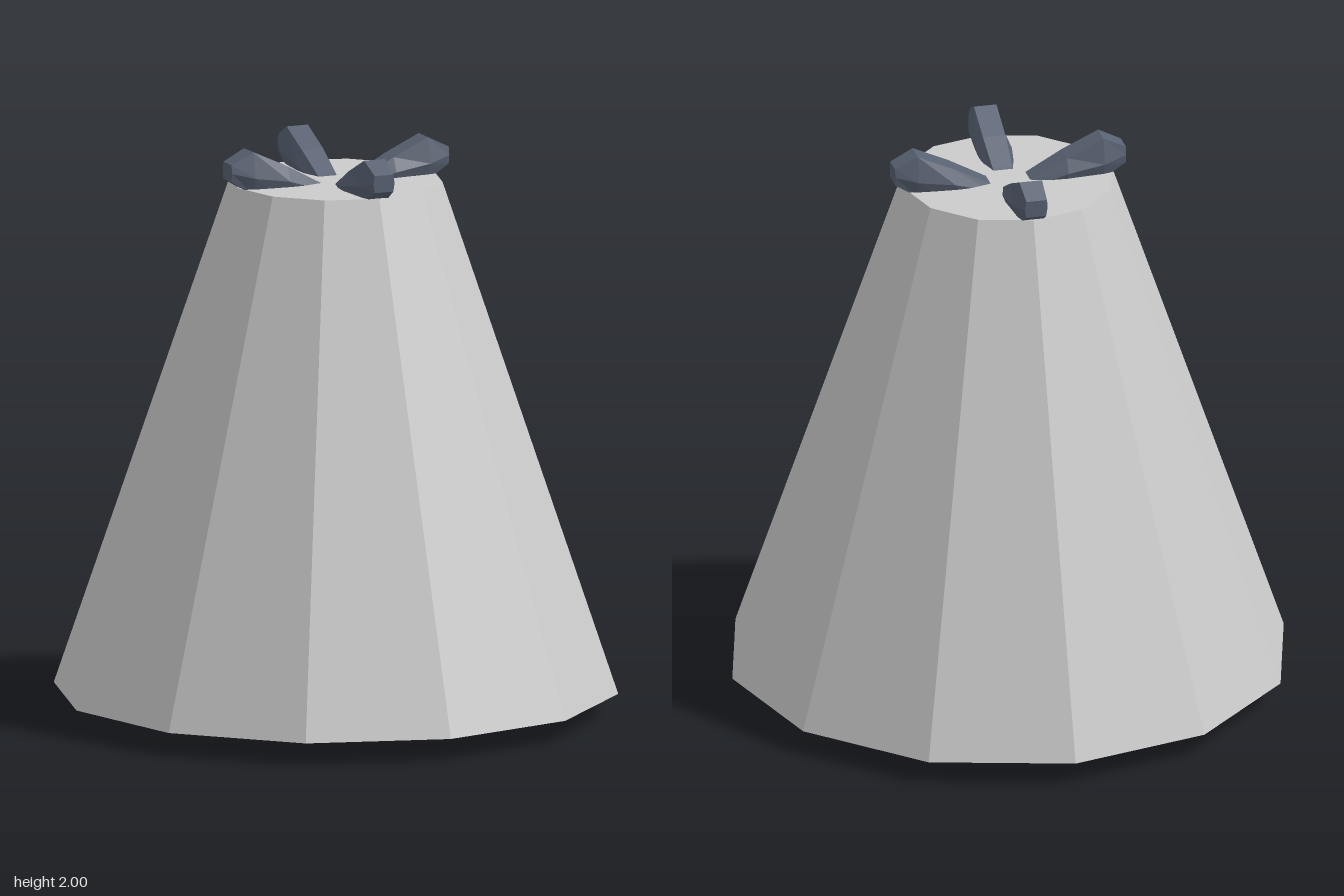
import * as THREE from 'three';

const material = (color, extra = {}) =>
  new THREE.MeshStandardMaterial({ color, flatShading: true, ...extra });

// Faceted claw lofted along +x from six-sided cross-sections
function clawGeometry() {
  // x, top y, middle y, bottom y, flat half width, middle half width
  const stations = [
    [0.02, 1.845, 1.83, 1.80, 0.03, 0.04],
    [0.08, 1.875, 1.85, 1.80, 0.035, 0.045],
    [0.2, 1.94, 1.89, 1.81, 0.04, 0.063],
    [0.33, 2.0, 1.91, 1.85, 0.04, 0.06],
    [0.41, 1.96, 1.93, 1.90, 0.035, 0.04],
  ];
  const rings = stations.map(([x, top, mid, low, flat, wide]) => [
    [x, top, -flat], [x, top, flat], [x, mid, wide],
    [x, low, flat], [x, low, -flat], [x, mid, -wide],
  ]);
  const positions = [];
  const tri = (a, b, c) => positions.push(...a, ...b, ...c);
  for (let s = 0; s < rings.length - 1; s++) {
    const a = rings[s], b = rings[s + 1];
    for (let i = 0; i < 6; i++) {
      const j = (i + 1) % 6;
      tri(a[i], a[j], b[j]);
      tri(a[i], b[j], b[i]);
    }
  }
  // End caps
  const first = rings[0], last = rings[rings.length - 1];
  for (let i = 1; i < 5; i++) {
    tri(last[0], last[i], last[i + 1]);
    tri(first[0], first[i + 1], first[i]);
  }
  const geometry = new THREE.BufferGeometry();
  geometry.setAttribute('position', new THREE.Float32BufferAttribute(positions, 3));
  geometry.computeVertexNormals();
  return geometry;
}

export function createModel() {
  const model = new THREE.Group();
  model.name = 'clawToppedCone';

  // Twelve-sided truncated cone
  const body = new THREE.Mesh(
    new THREE.CylinderGeometry(0.37, 0.98, 1.79, 12), material(0xcccccc));
  body.position.y = 0.08 + 1.79 / 2;
  body.name = 'coneBody';
  model.add(body);

  // Octagonal foot with a chamfered rim and a small dimple underneath
  const profile = [[0, 0.015], [0.05, 0.015], [0.08, 0], [0.26, 0], [0.287, 0.03], [0.287, 0.1], [0, 0.1]];
  const foot = new THREE.Mesh(
    new THREE.LatheGeometry(profile.map(([r, y]) => new THREE.Vector2(r, y)), 8, Math.PI / 8),
    material(0x1c2027));
  foot.name = 'foot';
  model.add(foot);

  // Four claws spreading from the top
  const geometry = clawGeometry();
  const clawMaterial = material(0x596273);
  ['left', 'back', 'right', 'front'].forEach((side, i) => {
    const claw = new THREE.Mesh(geometry, clawMaterial);
    claw.rotation.y = i * Math.PI / 2;
    claw.name = side + 'Claw';
    model.add(claw);
  });

  return model;
}
